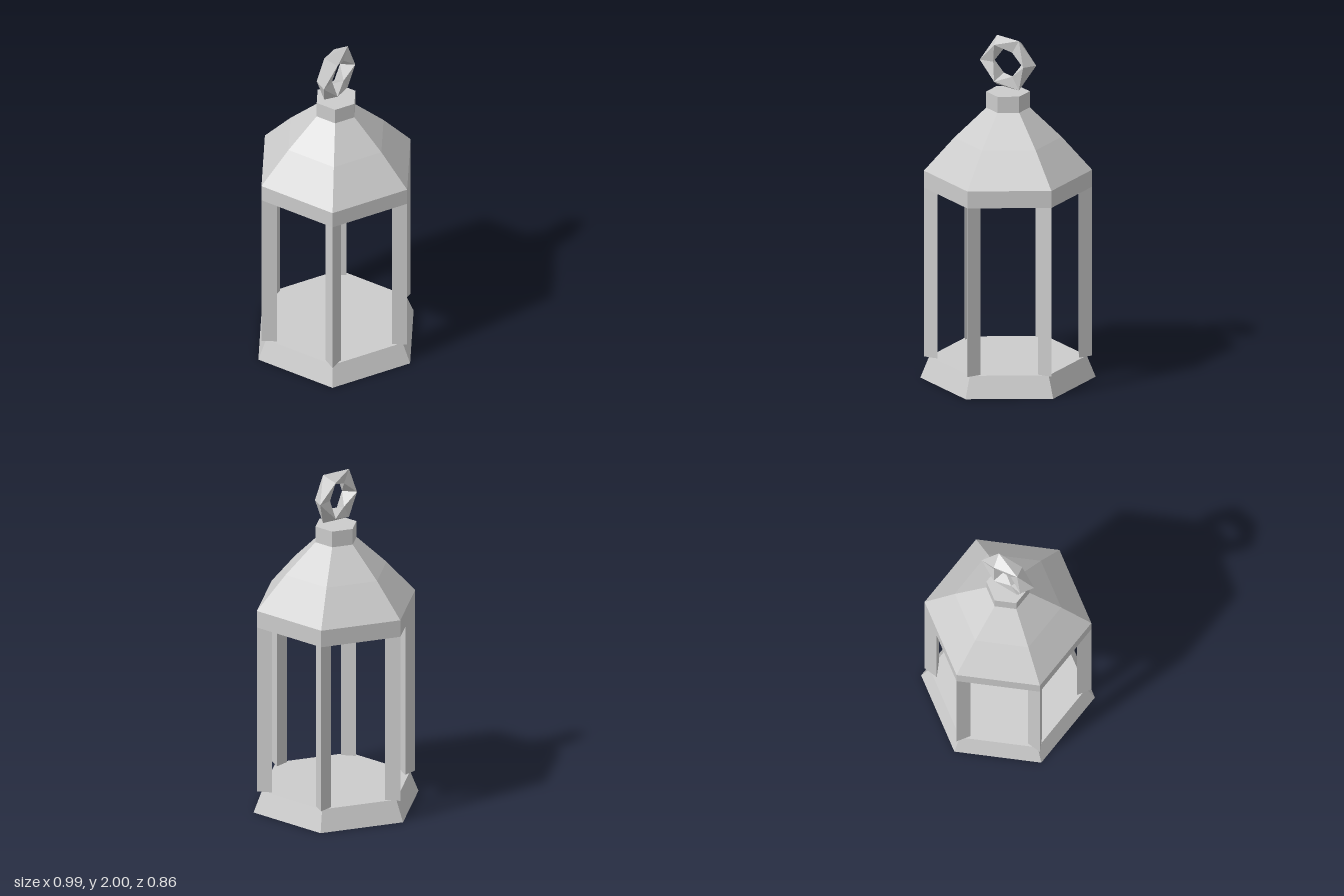
import * as THREE from 'three';

const metal = new THREE.MeshStandardMaterial({ color: 0xcccccc, flatShading: true });
metal.name = 'grey metal';

// Six-sided solid from [radius, height] steps, with corners on the x axis
function hexSolid(name, steps) {
  const profile = [
    [0, steps[0][1]],
    ...steps,
    [0, steps[steps.length - 1][1]],
  ].map(([r, y]) => new THREE.Vector2(r, y));
  const mesh = new THREE.Mesh(new THREE.LatheGeometry(profile, 6, Math.PI / 2), metal);
  mesh.name = name;
  return mesh;
}

// Ring of six triangular sections, each turned 60 degrees from the last
function ringGeometry(major, minor) {
  const point = (i, j) => {
    const a = (j * 2 + (i % 2)) * Math.PI / 3;
    const phi = (i % 6) * Math.PI / 3;
    const r = major + minor * Math.sin(a);
    return [minor * Math.cos(a), r * Math.sin(phi), -r * Math.cos(phi)];
  };
  const positions = [];
  const tri = (...corners) => corners.forEach((c) => positions.push(...c));
  for (let i = 0; i < 6; i++) {
    for (let j = 0; j < 3; j++) {
      const a0 = point(i, j), a1 = point(i, j + 1);
      const b0 = point(i + 1, j), b1 = point(i + 1, j + 1);
      if (i % 2 === 0) {
        tri(a0, a1, b0);
        tri(b0, a1, b1);
      } else {
        tri(a0, b1, b0);
        tri(a0, a1, b1);
      }
    }
  }
  const geometry = new THREE.BufferGeometry();
  geometry.setAttribute('position', new THREE.Float32BufferAttribute(positions, 3));
  geometry.computeVertexNormals();
  return geometry;
}

export function createModel() {
  const lantern = new THREE.Group();
  lantern.name = 'lantern';

  // Base, roof with eaves, and cap
  lantern.add(hexSolid('base', [[0.495, 0], [0.445, 0.125]]));
  lantern.add(hexSolid('roof', [[0.475, 1.12], [0.475, 1.22], [0.303, 1.415], [0.123, 1.59]]));
  lantern.add(hexSolid('cap', [[0.123, 1.588], [0.123, 1.685]]));

  // Triangular posts, one edge pointing out of each corner
  const postGeometry = new THREE.CylinderGeometry(0.05, 0.05, 0.995, 3);
  postGeometry.rotateY(Math.PI / 2);
  postGeometry.translate(0.425, 0.6225, 0);
  for (let i = 0; i < 6; i++) {
    const post = new THREE.Mesh(postGeometry, metal);
    post.name = `post${i + 1}`;
    post.rotation.y = i * Math.PI / 3;
    lantern.add(post);
  }

  // Hanging ring
  const ring = new THREE.Mesh(ringGeometry(0.125, 0.05), metal);
  ring.name = 'hangingRing';
  ring.position.y = 1.854;
  lantern.add(ring);

  return lantern;
}
